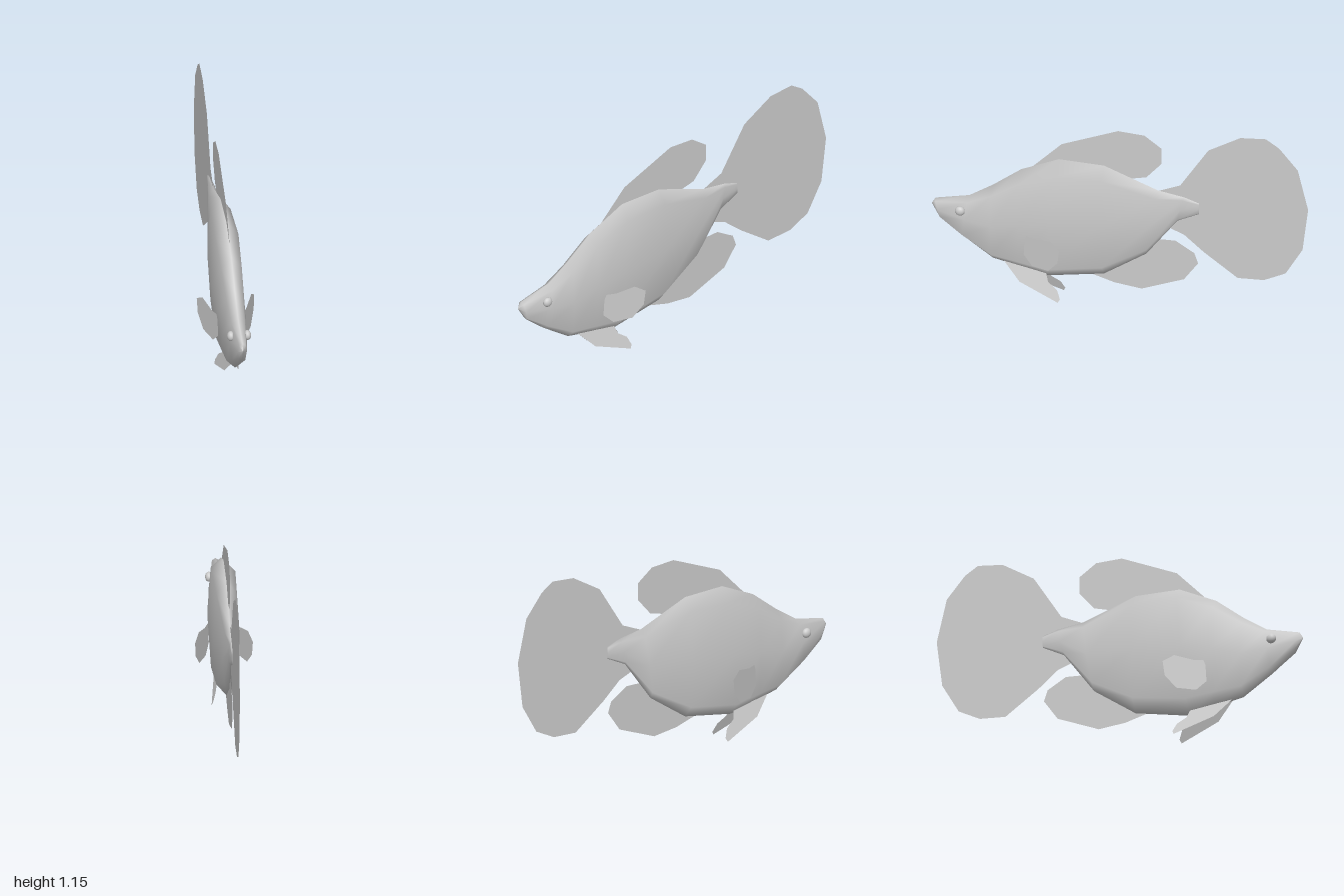
import * as THREE from 'three';

const material = new THREE.MeshStandardMaterial({ color: 0xcccccc });
const finMaterial = new THREE.MeshStandardMaterial({ color: 0xcccccc, side: THREE.DoubleSide });

function addMesh(group, name, geometry, mat = material) {
  const mesh = new THREE.Mesh(geometry, mat);
  mesh.name = name;
  group.add(mesh);
  return mesh;
}

// Body rings from nose to tail: z and y of the back, z and y of the belly, half width
const RINGS = [
  [1.0, 0.465, 1.0, 0.465, 0],
  [0.98, 0.5, 0.95, 0.385, 0.024],
  [0.8, 0.545, 0.835, 0.29, 0.045],
  [0.675, 0.63, 0.675, 0.18, 0.057],
  [0.525, 0.75, 0.525, 0.15, 0.07],
  [0.325, 0.845, 0.38, 0.12, 0.08],
  [0.085, 0.845, 0.085, 0.18, 0.068],
  [-0.2, 0.74, -0.14, 0.34, 0.035],
  [-0.34, 0.72, -0.305, 0.57, 0.015],
  [-0.42, 0.695, -0.42, 0.63, 0.006],
  [-0.42, 0.66, -0.42, 0.66, 0],
];

// Cross-section from the back round to the belly: share of width, share of depth
const SECTION = [
  [0, 0], [0.77, 0.1], [1, 0.5], [0.77, 0.9],
  [0, 1], [-0.77, 0.9], [-1, 0.5], [-0.77, 0.1],
];

function bodyGeometry() {
  const positions = [];
  const indices = [];
  const n = SECTION.length;
  RINGS.forEach(([zTop, yTop, zLow, yLow, w], i) => {
    SECTION.forEach(([u, t], j) => {
      positions.push(u * w, THREE.MathUtils.lerp(yTop, yLow, t), THREE.MathUtils.lerp(zTop, zLow, t));
      if (i === RINGS.length - 1) return;
      const a = i * n + j;
      const b = i * n + (j + 1) % n;
      if (i > 0) indices.push(a, b, a + n);
      if (i < RINGS.length - 2) indices.push(b, b + n, a + n);
      else indices.push(b, a + n, a + n);
      if (i === 0) indices.push(a, b + n, a + n);
    });
  });
  const geometry = new THREE.BufferGeometry();
  geometry.setAttribute('position', new THREE.Float32BufferAttribute(positions, 3));
  geometry.setIndex(indices);
  geometry.computeVertexNormals();
  return geometry;
}

// Thin fin from a [z, y] outline; spread(z, y) gives its x
function finGeometry(outline, spread = () => 0) {
  const shape = new THREE.Shape(outline.map(([z, y]) => new THREE.Vector2(z, y)));
  const geometry = new THREE.ShapeGeometry(shape);
  const p = geometry.attributes.position;
  for (let i = 0; i < p.count; i++) {
    const z = p.getX(i);
    const y = p.getY(i);
    p.setXYZ(i, spread(z, y), y, z);
  }
  geometry.computeVertexNormals();
  return geometry;
}

const DORSAL = [
  [0.5, 0.74], [0.31, 0.94], [0.01, 1.07], [-0.13, 1.065], [-0.22, 1.0],
  [-0.22, 0.905], [-0.14, 0.81], [-0.065, 0.79], [0.08, 0.78], [0.3, 0.78],
];
const TAIL = [
  [-0.2, 0.735], [-0.32, 0.79], [-0.47, 1.03], [-0.64, 1.135], [-0.775, 1.15], [-0.845, 1.105],
  [-0.945, 0.985], [-1, 0.75], [-0.97, 0.5], [-0.88, 0.34], [-0.765, 0.28], [-0.625, 0.27],
  [-0.445, 0.4], [-0.34, 0.49], [-0.26, 0.52], [-0.22, 0.6],
];
const ANAL = [
  [-0.2, 0.44], [-0.295, 0.445], [-0.395, 0.385], [-0.415, 0.325], [-0.34, 0.215],
  [-0.115, 0.12], [0.03, 0.135], [0.155, 0.17], [0.08, 0.23], [-0.1, 0.38],
];
const PELVIC = [
  [0.615, 0.175], [0.525, 0.08], [0.315, 0], [0.305, 0.02],
  [0.325, 0.065], [0.375, 0.1], [0.395, 0.165],
];
const PECTORAL = [
  [0.49, 0.36], [0.48, 0.39], [0.43, 0.39], [0.34, 0.415], [0.285, 0.38],
  [0.295, 0.3], [0.35, 0.23], [0.445, 0.22], [0.495, 0.27],
];

export function createModel() {
  const fish = new THREE.Group();
  fish.name = 'fish';

  addMesh(fish, 'body', bodyGeometry());

  // Fins on the centre line
  addMesh(fish, 'dorsalFin', finGeometry(DORSAL), finMaterial);
  addMesh(fish, 'tailFin', finGeometry(TAIL), finMaterial);
  addMesh(fish, 'analFin', finGeometry(ANAL), finMaterial);

  // Paired fins and eyes
  for (const [side, s] of [['left', 1], ['right', -1]]) {
    addMesh(fish, side + 'PectoralFin',
      finGeometry(PECTORAL, (z) => s * (0.067 + (0.49 - z) * 0.4)), finMaterial);
    addMesh(fish, side + 'PelvicFin',
      finGeometry(PELVIC, (z, y) => s * (0.062 - y * 0.32)), finMaterial);
    const eye = addMesh(fish, side + 'Eye', new THREE.SphereGeometry(0.026, 16, 12));
    eye.scale.x = 0.75;
    eye.position.set(s * 0.043, 0.468, 0.84);
  }
  return fish;
}
